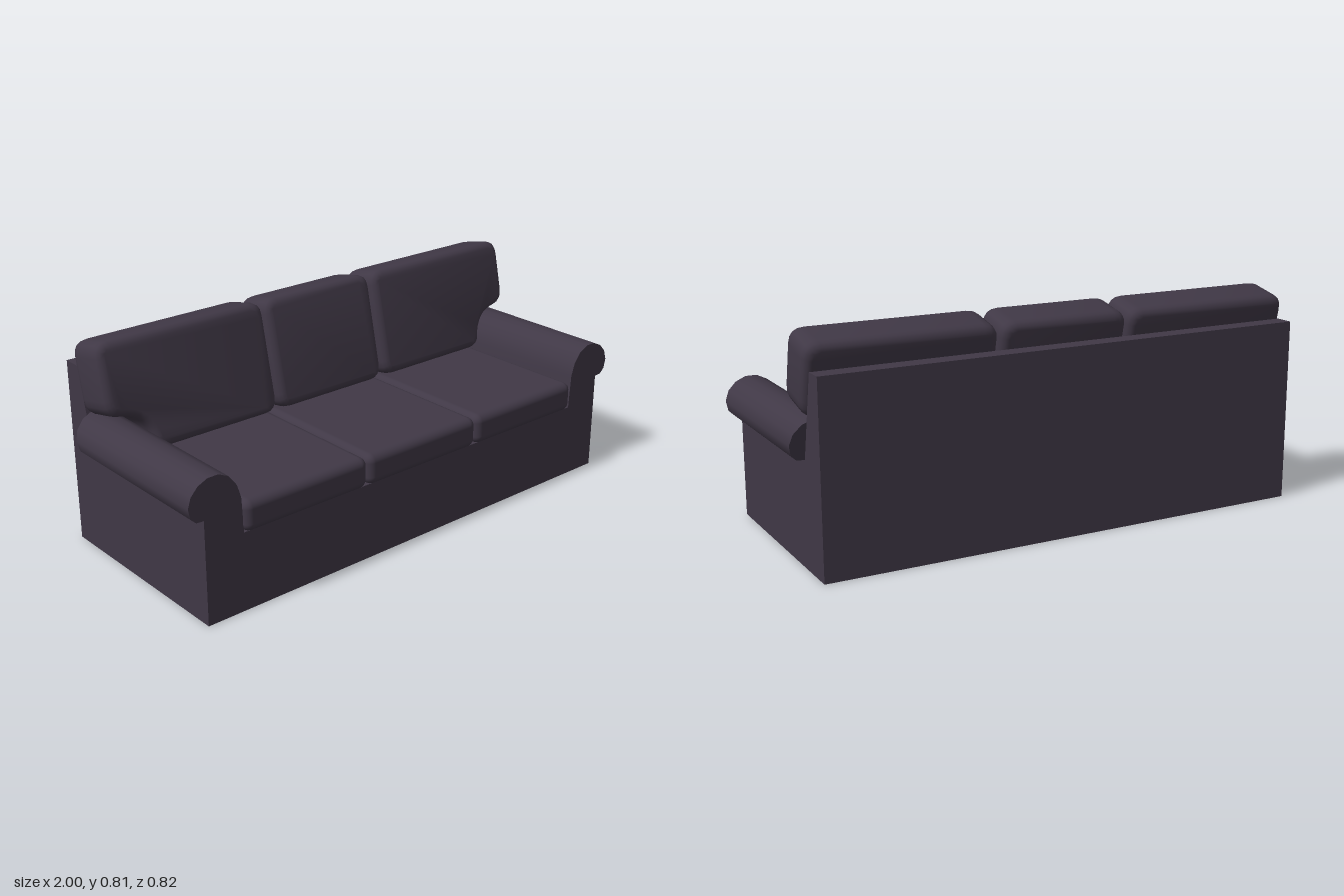
import * as THREE from 'three';
import { toCreasedNormals, mergeVertices } from 'three/addons/utils/BufferGeometryUtils.js';
import { RoundedBoxGeometry } from 'three/addons/geometries/RoundedBoxGeometry.js';

const shapeOf = (pts) => new THREE.Shape(pts.map(([x, y]) => new THREE.Vector2(x, y)));

// Outline with each corner rounded by a quadratic curve
function roundedShape(pts, r) {
  const p = pts.map(([x, y]) => new THREE.Vector2(x, y));
  const s = new THREE.Shape();
  p.forEach((c, i) => {
    const toward = (q) => c.clone().add(q.clone().sub(c).setLength(Math.min(r, q.distanceTo(c) * 0.49)));
    const a = toward(p[(i + p.length - 1) % p.length]);
    const b = toward(p[(i + 1) % p.length]);
    if (i === 0) s.moveTo(a.x, a.y); else s.lineTo(a.x, a.y);
    s.quadraticCurveTo(c.x, c.y, b.x, b.y);
  });
  s.closePath();
  return s;
}

// Box seen from inside, open at the bottom, with softly blended corners
function openCavity(w, h, d) {
  const box = new THREE.BoxGeometry(w, h, d);
  box.deleteAttribute('uv');
  box.deleteAttribute('normal');
  const index = Array.from(box.index.array);
  index.splice(18, 6); // bottom face
  box.setIndex(index);
  const cavity = mergeVertices(box);
  cavity.clearGroups();
  cavity.scale(-1, 1, 1); // mirrored, so the faces turn inwards
  cavity.computeVertexNormals();
  return cavity;
}

export function createModel() {
  const fabric = new THREE.MeshStandardMaterial({ color: 0x403846 });
  fabric.name = 'fabric';
  const wood = new THREE.MeshStandardMaterial({ color: 0x8a6238 });
  wood.name = 'wood';
  const footPaint = new THREE.MeshStandardMaterial({ color: 0x34323d });
  footPaint.name = 'footPaint';

  const sofa = new THREE.Group();
  sofa.name = 'sofa';
  const add = (name, geometry, material) => {
    const mesh = new THREE.Mesh(geometry, material);
    mesh.name = name;
    sofa.add(mesh);
    return mesh;
  };

  const W = 0.943, FRONT = 0.39, BACK = -0.41, WALL = 0.008, RECESS = 0.055;
  const midZ = (FRONT + BACK) / 2, depth = FRONT - BACK;

  // Base and sloping back: one side profile drawn across the width
  const frame = new THREE.ExtrudeGeometry(shapeOf([
    [-FRONT, 0], [-FRONT + WALL, 0], [-FRONT + WALL, RECESS], [-BACK - WALL, RECESS], [-BACK - WALL, 0],
    [-BACK, 0], [-BACK, 0.69], [0.34, 0.69], [0.25, 0.29], [-FRONT, 0.29],
  ]), { depth: 2 * W, bevelEnabled: false });
  frame.translate(0, 0, -W).rotateY(Math.PI / 2);
  add('baseAndBack', frame, fabric);

  // End skirts closing the shallow recess below
  for (const [side, name] of [[1, 'leftSkirt'], [-1, 'rightSkirt']]) {
    const skirt = add(name, new THREE.BoxGeometry(WALL, RECESS, depth - 2 * WALL), fabric);
    skirt.position.set(side * (W - WALL / 2), RECESS / 2, midZ);
  }

  // Bare wooden underside
  const lining = openCavity(2 * (W - WALL) - 0.002, RECESS - 0.002, depth - 2 * WALL - 0.002);
  add('underside', lining, wood).position.set(0, RECESS / 2, midZ);

  // Feet tucked into the corners
  for (const x of [-W + 0.045, W - 0.045]) {
    for (const z of [FRONT - 0.05, BACK + 0.05]) {
      add('foot', new THREE.BoxGeometry(0.05, 0.052, 0.05), footPaint).position.set(x, 0.027, z);
    }
  }

  // Rolled arms, their rear ends cut to the slope of the back
  const armProfile = [
    [0.79, 0.29], [0.797, 0.42], [0.812, 0.468], [0.842, 0.508], [0.88, 0.527], [0.922, 0.527],
    [0.96, 0.51], [0.988, 0.48], [1, 0.442], [0.992, 0.405], [0.972, 0.386], [W, 0.384], [W, 0.29],
  ];
  for (const [side, name] of [[1, 'leftArm'], [-1, 'rightArm']]) {
    const arm = new THREE.ExtrudeGeometry(shapeOf(armProfile.map(([x, y]) => [side * x, y])), { depth: 1, bevelEnabled: false });
    const pos = arm.attributes.position;
    for (let i = 0; i < pos.count; i++) {
      const rear = -0.25 - (pos.getY(i) - 0.29) * 0.225;
      pos.setZ(i, pos.getZ(i) > 0.5 ? FRONT : rear);
    }
    add(name, toCreasedNormals(arm, 0.8), fabric);
  }

  // Seat cushions
  [-0.533, -0.008, 0.517].forEach((x) => {
    const cushion = add('seatCushion', new RoundedBoxGeometry(0.524, 0.114, 0.66, 3, 0.03), fabric);
    cushion.position.set(x, 0.346, 0.08);
  });

  // Back cushions: soft-edged outlines leaning backwards
  const lean = 0.22, edge = 0.034, thick = 0.175;
  const backCushion = (name, outline) => {
    const geo = new THREE.ExtrudeGeometry(roundedShape(outline, 0.055), {
      depth: thick - 2 * edge, bevelThickness: edge, bevelSize: edge * 0.8, bevelOffset: -edge * 0.8,
      bevelSegments: 3, curveSegments: 4,
    });
    geo.translate(0, 0, -thick / 2 + edge);
    const mesh = add(name, toCreasedNormals(geo, 0.8), fabric);
    mesh.position.set(0, 0.393, -0.179);
    mesh.rotation.x = -lean;
  };
  const H = 0.414;
  backCushion('middleBackCushion', [[-0.253, 0], [0.25, 0], [0.25, H], [-0.253, H]]);
  // Outer cushions reach over the arms
  const outer = [[0.262, 0], [0.79, 0], [0.8, 0.085], [0.855, 0.14], [0.958, 0.155], [0.958, H], [0.262, H]];
  backCushion('leftBackCushion', outer);
  backCushion('rightBackCushion', outer.map(([x, y]) => [-x, y]).reverse());

  return sofa;
}
